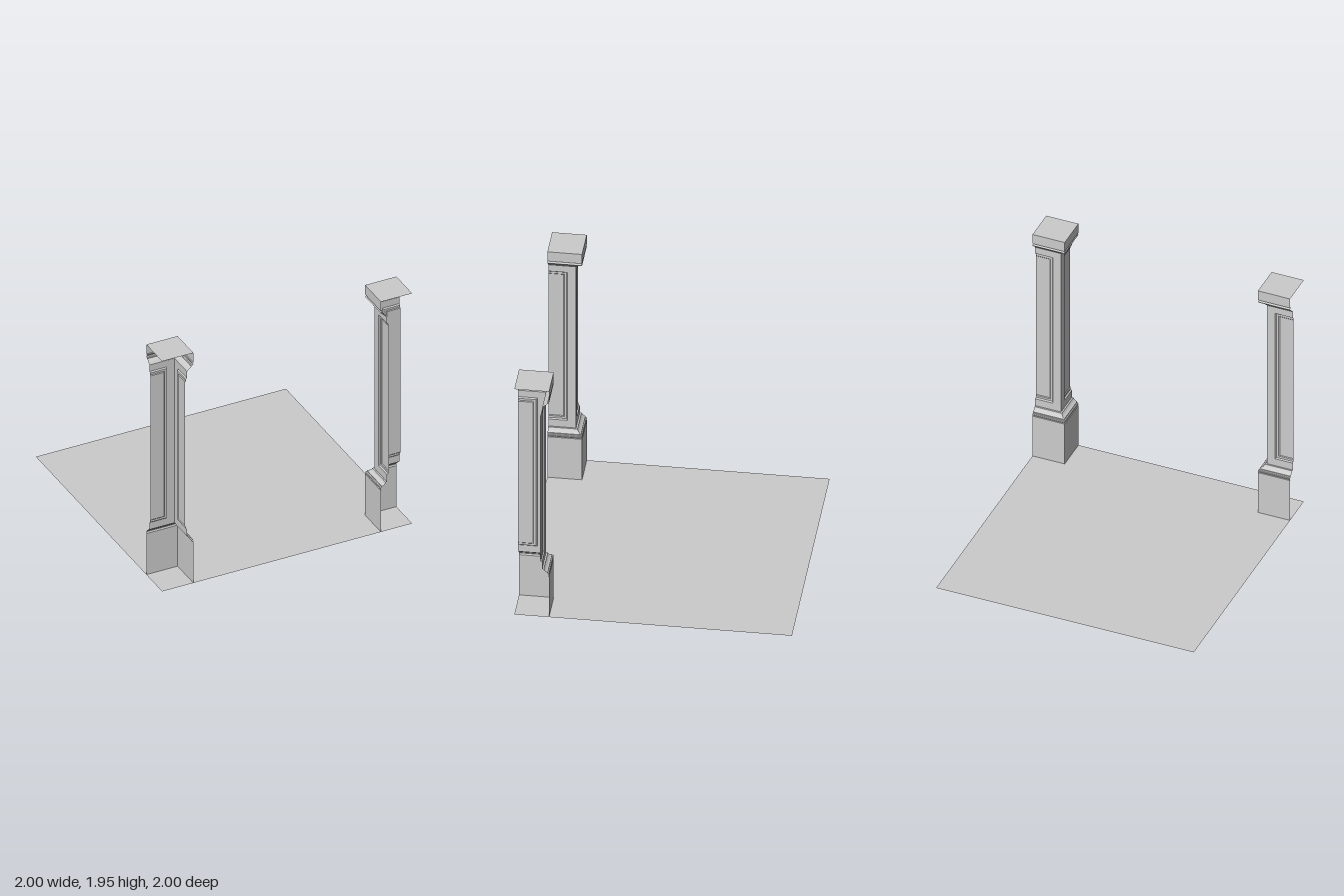
import * as THREE from 'three';

const material = new THREE.MeshStandardMaterial({ color: 0xcccccc, side: THREE.DoubleSide, flatShading: true });

// Skin a list of equal-length open cross-sections
function loft(rows, name) {
  const pos = [];
  for (let i = 0; i < rows.length - 1; i++) {
    for (let j = 0; j < rows[i].length - 1; j++) {
      const a = rows[i][j], b = rows[i][j + 1], c = rows[i + 1][j + 1], d = rows[i + 1][j];
      pos.push(...a, ...b, ...c, ...a, ...c, ...d);
    }
  }
  const geo = new THREE.BufferGeometry();
  geo.setAttribute('position', new THREE.Float32BufferAttribute(pos, 3));
  geo.computeVertexNormals();
  const mesh = new THREE.Mesh(geo, material);
  mesh.name = name;
  return mesh;
}

// Moulding that runs round the inner corner; profile entries are [distance from centre, y]
const moulding = (profile, name) =>
  loft(profile.map(([a, y]) => [[1, y, a], [a, y, a], [a, y, 1]]), name);

// Shaft side with a stepped recessed panel, cut off at the pillar's middle
function panelFace(name, swap) {
  const y0 = 0.41, y1 = 1.805, top = 1.75, bottom = 0.47, edge = 0.862;
  const ring = (u, lo, hi, d) => [[1, lo, 0.8 + d], [u, lo, 0.8 + d], [u, hi, 0.8 + d], [1, hi, 0.8 + d]];
  const rows = [ring(0.8, y0, y1, 0)];
  // [inset from panel edge, depth]
  for (const [s, d] of [[0, 0], [0.003, 0.006], [0.008, 0.01], [0.024, 0.01], [0.03, 0.015]]) {
    rows.push(ring(edge + s, bottom + s, top - s, d));
  }
  rows.push(ring(1, bottom + 0.03, top - 0.03, 0.015));
  return loft(swap ? rows.map(r => r.map(([x, y, z]) => [z, y, x]).reverse()) : rows, name);
}

// Quarter pillar standing in the +x, +z corner, open on its outer sides
function pillar(name) {
  const g = new THREE.Group();
  g.name = name;
  g.add(moulding([[0.75, 0], [0.75, 0.35]], 'plinth'));
  g.add(moulding([
    [0.75, 0.35], [0.756, 0.352], [0.752, 0.357], [0.75, 0.364], [0.753, 0.371],
    [0.76, 0.375], [0.76, 0.382], [0.769, 0.386], [0.779, 0.394], [0.786, 0.404],
    [0.788, 0.41], [0.8, 0.41],
  ], 'baseMoulding'));
  g.add(panelFace('backPanel', false), panelFace('sidePanel', true));
  g.add(moulding([
    [0.8, 0.41 + 1.395], [0.794, 1.812], [0.785, 1.822], [0.772, 1.832], [0.765, 1.838],
    [0.765, 1.843], [0.756, 1.845], [0.75, 1.852], [0.752, 1.858], [0.76, 1.864],
    [0.76, 1.87], [0.75, 1.87],
  ], 'capitalMoulding'));
  g.add(moulding([[0.75, 1.87], [0.75, 1.95]], 'capSides'));
  const top = new THREE.Mesh(new THREE.PlaneGeometry(0.25, 0.25).rotateX(-Math.PI / 2), material);
  top.position.set(0.875, 1.95, 0.875);
  top.name = 'capTop';
  g.add(top);
  return g;
}

export function createModel() {
  const model = new THREE.Group();
  model.name = 'cornerPillars';

  // Floor
  const floor = new THREE.Mesh(new THREE.PlaneGeometry(2, 2).rotateX(-Math.PI / 2), material);
  floor.name = 'floor';
  model.add(floor);

  // Mirrored pair of pillars at the front corners
  const left = pillar('leftPillar');
  const right = pillar('rightPillar');
  right.scale.x = -1;
  model.add(left, right);
  return model;
}
